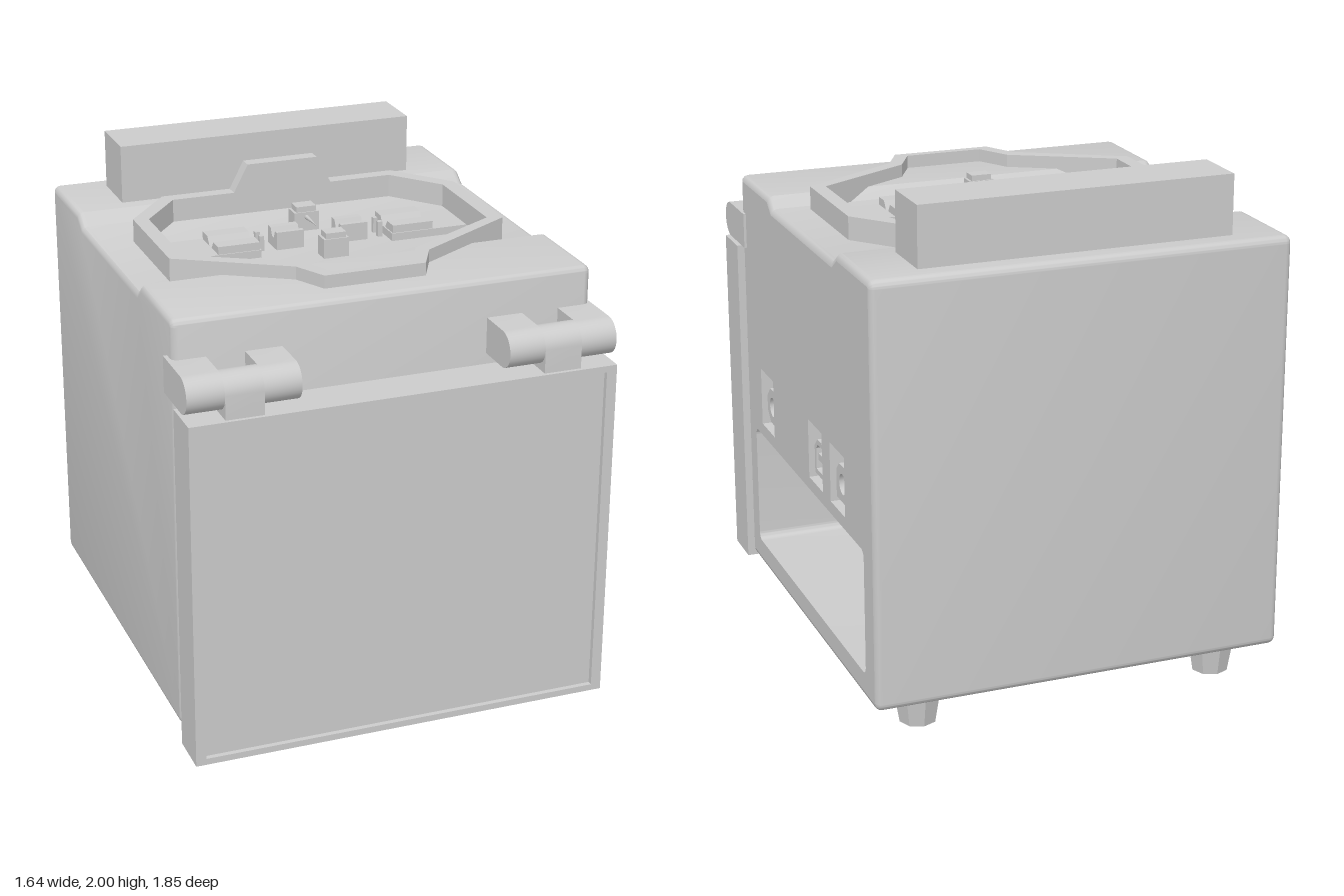
import * as THREE from 'three';
import { toCreasedNormals } from 'three/addons/utils/BufferGeometryUtils.js';

const grey = new THREE.MeshStandardMaterial({ color: 0xcccccc });
const thin = new THREE.MeshStandardMaterial({ color: 0xcccccc, side: THREE.DoubleSide });

export function createModel() {
  const model = new THREE.Group();
  const add = (name, geo, mat = grey, parent = model) => {
    const m = new THREE.Mesh(geo, mat);
    m.name = name;
    parent.add(m);
    return m;
  };
  // box from minimum and maximum corners
  const box = (x0, x1, y0, y1, z0, z1) =>
    new THREE.BoxGeometry(x1 - x0, y1 - y0, z1 - z0).translate((x0 + x1) / 2, (y0 + y1) / 2, (z0 + z1) / 2);
  const poly = (pts) => new THREE.Shape(pts.map(([a, b]) => new THREE.Vector2(a, b)));
  // side outlines are drawn in (-z, y) and swept along x
  const sweepX = (shape, x0, x1, bevel = 0) => new THREE.ExtrudeGeometry(shape, {
    depth: x1 - x0 - 2 * bevel, curveSegments: 8, bevelEnabled: bevel > 0,
    bevelThickness: bevel, bevelSize: bevel, bevelOffset: -bevel, bevelSegments: 3,
  }).rotateY(Math.PI / 2).translate(x0 + bevel, 0, 0);
  const smooth = (geo) => toCreasedNormals(geo, 0.6);
  // removes the flat end that lies at a given x
  const openEnd = (geo, x) => {
    const p = geo.attributes.position, kept = [];
    for (let i = 0; i < p.count; i += 3) {
      if ([0, 1, 2].every((k) => Math.abs(p.getX(i + k) - x) < 1e-4)) continue;
      for (let k = 0; k < 3; k++) kept.push(p.getX(i + k), p.getY(i + k), p.getZ(i + k));
    }
    const g = new THREE.BufferGeometry();
    g.setAttribute('position', new THREE.Float32BufferAttribute(kept, 3));
    g.computeVertexNormals();
    return smooth(g);
  };
  const roundRect = (u0, u1, v0, v1, r) => {
    const s = new THREE.Shape(), h = Math.PI / 2;
    s.absarc(u1 - r, v0 + r, r, -h, 0);
    s.absarc(u1 - r, v1 - r, r, 0, h);
    s.absarc(u0 + r, v1 - r, r, h, 2 * h);
    s.absarc(u0 + r, v0 + r, r, 2 * h, 3 * h);
    return s;
  };

  // body outline with the shallow trough across the top
  const bodyOutline = (inset) => {
    const s = new THREE.Shape(), h = Math.PI / 2, r = 0.03 - inset, k = inset * 0.35;
    s.absarc(0.89, 0.17, r, -h, 0);
    s.absarc(0.89, 1.74, r, 0, h);
    s.lineTo(0.54 + k, 1.77 - inset);
    s.lineTo(0.48 + k, 1.73 - inset);
    s.lineTo(-0.27 - k, 1.73 - inset);
    s.lineTo(-0.32 - k, 1.77 - inset);
    s.absarc(-0.67, 1.74, r, h, 2 * h);
    s.absarc(-0.67, 0.17, r, 2 * h, 3 * h);
    return s;
  };
  const side = 0.81, bevel = 0.025;
  add('body', openEnd(sweepX(bodyOutline(0), -side, side, bevel), side));

  // left side wall with openings for the compartment and the sockets
  const socketU = [-0.405, 0.232, 0.5];
  const openings = [
    ['storageCompartment', roundRect(-0.59, 0.797, 0.24, 0.73, 0.03), 1.35],
    ...socketU.map((u) => ['socketRecess',
      poly([[u - 0.086, 0.78], [u + 0.086, 0.78], [u + 0.086, 1.015], [u - 0.086, 1.015]]), 0.06]),
  ];
  const wall = bodyOutline(bevel);
  for (const [name, shape, depth] of openings) {
    wall.holes.push(shape);
    add(name, openEnd(sweepX(shape, side - depth, side), side), thin);
  }
  add('sideWall', new THREE.ShapeGeometry(wall, 8).rotateY(Math.PI / 2).translate(side, 0, 0), thin);

  // sockets
  const chamferedOutline = (u, w, c, bottom) => poly([
    [u - w + bottom, 0.875 - w], [u + w - bottom, 0.875 - w], [u + w, 0.875 - w + bottom],
    [u + w, 0.875 + w - c], [u + w - c, 0.875 + w], [u - w + c, 0.875 + w],
    [u - w, 0.875 + w - c], [u - w, 0.875 - w + bottom],
  ]);
  socketU.forEach((u, i) => {
    const shape = chamferedOutline(u, 0.072, i ? 0.035 : 0.042, i ? 0.002 : 0.042);
    if (i === 1) shape.holes.push(chamferedOutline(u, 0.052, 0.02, 0.002));
    else shape.holes.push(new THREE.Path().absarc(u, 0.875, 0.04, 0, Math.PI * 2));
    add('socket', smooth(sweepX(shape, 0.74, 0.79)));
    if (i === 1) add('socketTongue', box(0.74, 0.785, 0.862, 0.89, -u - 0.04, -u + 0.04));
    // sloped lip over the recess
    add('recessLip', new THREE.ExtrudeGeometry(poly([[0.75, 1.0], [0.81, 1.015], [0.75, 1.015]]),
      { depth: 0.172, bevelEnabled: false }).translate(0, 0, -u - 0.086));
  });

  // feet
  for (const x of [-0.615, 0.593]) for (const z of [0.51, -0.745]) {
    const foot = new THREE.CylinderGeometry(0.097, 0.072, 0.15, 8).toNonIndexed();
    foot.computeVertexNormals();
    add('foot', foot).position.set(x, 0.075, z);
  }

  // rear housing
  add('rearBlock', box(-0.61, 0.605, 1.75, 2, -0.83, -0.6));

  // screen panel with raised bezel
  add('screenPanel', box(-0.825, 0.82, 0.1, 1.46, 0.75, 0.905));
  const rect = (x0, x1, y0, y1) => poly([[x0, y0], [x1, y0], [x1, y1], [x0, y1]]);
  const bezel = rect(-0.825, 0.82, 0.1, 1.46);
  bezel.holes.push(rect(-0.785, 0.78, 0.125, 1.435));
  add('screenBezel', new THREE.ExtrudeGeometry(bezel, { depth: 0.02, bevelEnabled: false }).translate(0, 0, 0.905));

  // hinges: two arms around a knuckle
  const arm = new THREE.Shape();
  arm.moveTo(-0.64, 1.48);
  arm.lineTo(-0.84, 1.48);
  arm.absarc(-0.84, 1.55, 0.07, -Math.PI / 2, Math.PI / 2, true);
  arm.lineTo(-0.64, 1.62);
  const knuckle = new THREE.Shape();
  knuckle.moveTo(-0.91, 1.44);
  knuckle.lineTo(-0.77, 1.44);
  knuckle.absarc(-0.84, 1.55, 0.07, 0, Math.PI);
  for (const x of [-0.825, 0.395]) {
    const hinge = new THREE.Group();
    hinge.name = 'screenHinge';
    model.add(hinge);
    add('hingeArm', smooth(sweepX(arm, x, x + 0.14)), grey, hinge);
    add('hingeArm', smooth(sweepX(arm, x + 0.285, x + 0.425)), grey, hinge);
    add('hingeKnuckle', smooth(sweepX(knuckle, x + 0.14, x + 0.285)), grey, hinge);
  }

  // ten-sided guard wall, mirrored from its left half and drawn in (x, -z)
  const mirrored = (half) => poly([...half, ...half.map(([x, y]) => [-x, y]).reverse()]);
  const guard = mirrored([[0.197, -0.585], [0.262, -0.46], [0.667, -0.22], [0.667, 0.25], [0.483, 0.475]]);
  guard.holes.push(mirrored([[0.155, -0.55], [0.225, -0.42], [0.61, -0.2], [0.61, 0.23], [0.455, 0.42]]));
  add('guardWall', new THREE.ExtrudeGeometry(guard, { depth: 0.1, bevelEnabled: false })
    .rotateX(-Math.PI / 2).translate(0, 1.72, 0));
  add('guardTab', new THREE.ExtrudeGeometry(mirrored([[0.203, 1.81], [0.203, 1.82], [0.145, 1.93]]),
    { depth: 0.055, bevelEnabled: false }).translate(0, 0, -0.475));

  // alignment stage inside the guard
  const grooved = (u0, u1, top, g) => poly([[u0, 1.72], [u1, 1.72], [u1, top], [0.01 + g, top],
    [0.01 + g * 0.4, top - 0.03], [0.01 - g * 0.4, top - 0.03], [0.01 - g, top], [u0, top]]);
  const both = (s, a, b) => (s > 0 ? [a, b] : [-b, -a]);
  for (const s of [1, -1]) {
    add('holderPlate', box(...both(s, 0.265, 0.575), 1.72, 1.76, -0.11, 0.09));
    add('fibreHolder', sweepX(grooved(-0.085, 0.105, 1.79, 0.035), ...both(s, 0.27, 0.435)));
    add('grooveBlock', sweepX(grooved(-0.035, 0.065, 1.8, 0.025), ...both(s, 0.075, 0.185)));
    for (const z of [-0.035, 0.015]) add('guidePin', box(...both(s, 0.232, 0.25), 1.72, 1.79, z - 0.01, z + 0.01));
    const z = s > 0 ? [0.12, 0.187] : [-0.21, -0.14];
    add('electrodePost', box(-0.05, 0.05, 1.72, 1.805, ...z));
    add('electrodeCap', box(-0.04, 0.04, 1.8, 1.827, z[0] + 0.005, z[1] - 0.005));
    add('electrode', new THREE.ConeGeometry(0.011, 0.13, 8).rotateX(-s * Math.PI / 2)
      .translate(0, 1.785, s * 0.085 - 0.01));
  }
  return model;
}
